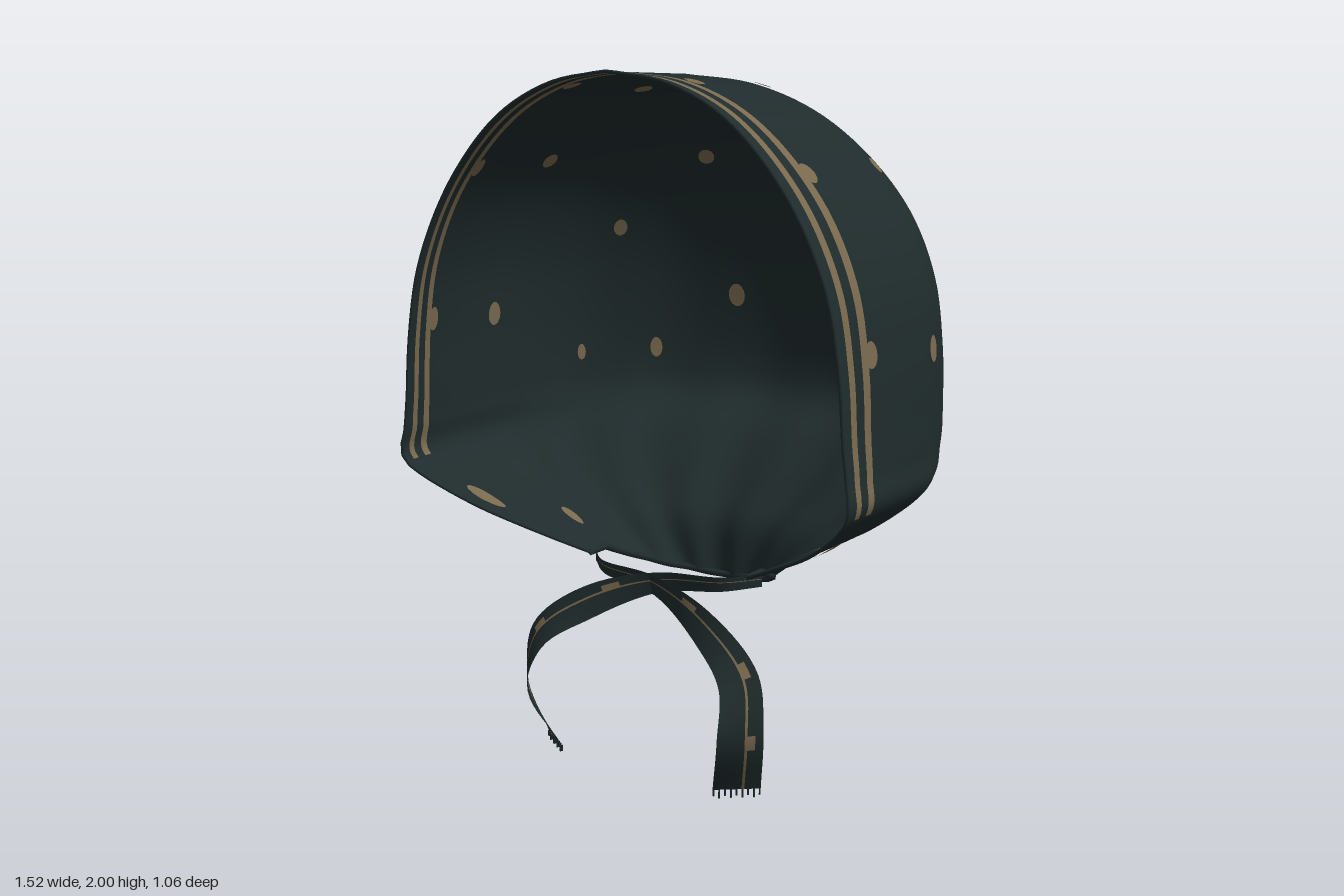
import * as THREE from 'three';
import { mergeVertices } from 'three/addons/utils/BufferGeometryUtils.js';

// Horizontal cross-sections of the hood, top to neck:
// [front y, back y, half width, rim width ratio, front z, side-end z, back z]
const ROWS = [
  [2.0, 2.0, 0, .9, .515, .12, .12],
  [1.974, 1.974, .194, .9, .515, .12, -.04],
  [1.9, 1.9, .375, .9, .515, .12, -.19],
  [1.78, 1.78, .53, .89, .515, .12, -.315],
  [1.625, 1.625, .655, .89, .515, .12, -.41],
  [1.444, 1.444, .728, .91, .517, .12, -.475],
  [1.25, 1.25, .752, .93, .519, .12, -.513],
  [1.08, 1.08, .755, .945, .52, .12, -.523],
  [.98, .98, .755, .96, .52, .12, -.485],
  [.88, .88, .745, .975, .52, .12, -.355],
  [.76, .75, .6, .98, .42, .13, -.22],
  [.67, .64, .42, 1, .32, .14, -.13],
  [.6, .49, .27, 1, .23, .15, -.11],
];
const LAST = ROWS.length - 1;
const RIM_ROW = 9;

function row(s) {
  const i = Math.min(Math.max(Math.floor(s), 0), LAST - 1), t = s - i;
  const [a, b, c, d] = [-1, 0, 1, 2].map(k => ROWS[Math.min(Math.max(i + k, 0), LAST)]);
  return b.map((_, k) => {
    const m0 = i === 0 ? c[k] - b[k] : (c[k] - a[k]) / 2;
    const m1 = (d[k] - b[k]) / 2;
    const t2 = t * t, t3 = t2 * t;
    return (2 * t3 - 3 * t2 + 1) * b[k] + (t3 - 2 * t2 + t) * m0 + (3 * t2 - 2 * t3) * c[k] + (t3 - t2) * m1;
  });
}

// Hood surface: u 0-1 is the left side, 1-2 goes round the back, 2-3 is the right side
function hoodPoint(s, u) {
  const [yF, yB, w, ratio, zF, zC, zB] = row(Math.min(Math.max(s, 0), LAST));
  if (u < 1 || u > 2) {
    const k = u < 1 ? u : 3 - u;
    const x = w * (ratio + (1 - ratio) * Math.sin(k * Math.PI / 2));
    return new THREE.Vector3(u < 1 ? x : -x, yF, zF + (zC - zF) * k);
  }
  const a = (u - 1) * Math.PI, sin = Math.sin(a);
  // gathers in the cloth grow towards the neck
  const gather = THREE.MathUtils.smoothstep(1.25 - yF, .1, .6) * .03 + .004;
  const f = 1 + gather * sin * Math.cos(15 * a);
  return new THREE.Vector3(w * Math.cos(a) * f, yF + (yB - yF) * sin, zC - (zC - zB) * sin * f);
}

function makeGeometry(points, lists) {
  const g = new THREE.BufferGeometry().setFromPoints(points);
  g.setIndex(lists.flat());
  let start = 0;
  lists.forEach((l, i) => { g.addGroup(start, l.length, i); start += l.length; });
  const merged = mergeVertices(g, 1e-5);
  merged.computeVertexNormals();
  return merged;
}

// Grid of points; isTrim(i, j) picks the second material for a cell
function gridGeometry(rows, cols, point, isTrim) {
  const pts = [], lists = [[], []];
  for (let i = 0; i < rows; i++) for (let j = 0; j < cols; j++) pts.push(point(i, j));
  for (let i = 0; i < rows - 1; i++) for (let j = 0; j < cols - 1; j++) {
    const a = i * cols + j, c = a + cols;
    lists[isTrim(i, j) ? 1 : 0].push(a, c, a + 1, a + 1, c, c + 1);
  }
  return makeGeometry(pts, lists);
}

// Disc that follows the hood, laid just outside or inside it
function dotGeometry(s, u, rx, ry, offset) {
  const e = .01, c = hoodPoint(s, u);
  const du = hoodPoint(s, u + e).sub(hoodPoint(s, u - e)).divideScalar(2 * e);
  const ds = hoodPoint(s + e, u).sub(hoodPoint(s - e, u)).divideScalar(2 * e);
  const n = ds.clone().cross(du).normalize().multiplyScalar(offset);
  const pts = [c.add(n)], idx = [], N = 14;
  for (let i = 0; i < N; i++) {
    const a = i / N * Math.PI * 2;
    pts.push(hoodPoint(s - Math.sin(a) * ry / ds.length(), u + Math.cos(a) * rx / du.length()).add(n));
    idx.push(0, i + 1, (i + 1) % N + 1);
  }
  return makeGeometry(pts, [idx]);
}

function rowAtHeight(y) {
  let lo = 0, hi = LAST;
  for (let i = 0; i < 30; i++) {
    const m = (lo + hi) / 2;
    if (row(m)[0] > y) lo = m; else hi = m;
  }
  return lo;
}

export function createModel() {
  const model = new THREE.Group();
  const cloth = new THREE.MeshStandardMaterial({ color: 0x1f2b2c, side: THREE.DoubleSide });
  cloth.name = 'dark teal cloth';
  const trim = new THREE.MeshStandardMaterial({ color: 0x79694e, side: THREE.DoubleSide });
  trim.name = 'tan print';
  const add = (name, geometry, material, parent = model) => {
    const m = new THREE.Mesh(geometry, material);
    m.name = name;
    parent.add(m);
    return m;
  };

  // Hood with two stripes behind the face opening
  const side = [0, .092, .15, .232, .302, .5, .75];
  const us = [...side];
  for (let i = 0; i <= 72; i++) us.push(1 + i / 72);
  us.push(...side.map(v => 3 - v).reverse());
  const stripe = j => j === 1 || j === 3;
  const sub = 6;
  add('hood', gridGeometry(LAST * sub + 1, us.length, (i, j) => hoodPoint(i / sub, us[j]),
    (i, j) => i < RIM_ROW * sub && (stripe(j) || stripe(us.length - 2 - j))), [cloth, trim]);

  // Printed dots, on both faces of the cloth
  const dots = new THREE.Group();
  dots.name = 'dots';
  model.add(dots);
  const addDot = (s, u, rx, ry) => {
    for (const o of [.005, -.005]) {
      add('dot', dotGeometry(s, u, rx, ry, o), trim, dots);
      add('dot', dotGeometry(s, 3 - u, rx, ry, o), trim, dots);
    }
  };
  // back dots: x, y, radii
  for (const [x, y, rx, ry] of [[.19, 1.76, .026, .028], [.5, 1.53, .022, .028],
    [.185, 1.31, .027, .038], [.445, 1.13, .02, .033], [.63, 1.12, .014, .026]]) {
    const s = rowAtHeight(y);
    addDot(s, 1 + Math.acos(x / row(s)[2]) / Math.PI, rx, ry);
  }
  // side dots: y, z, radii
  for (const [y, z, rx, ry] of [[1.965, .035, .026, .026], [1.75, .03, .025, .027],
    [1.27, .07, .026, .037], [1.97, .392, .026, .028], [1.74, .392, .026, .032],
    [1.29, .392, .026, .036], [.75, .34, .026, .065], [.67, .12, .02, .045]]) {
    const s = rowAtHeight(y), [, , , , zF, zC, zB] = row(s);
    const u = z > zC ? (zF - z) / (zF - zC) : 1 + Math.asin((zC - z) / (zC - zB)) / Math.PI;
    addDot(s, u, rx, ry);
  }

  // Rolled hems along the face opening and the neck
  const tube = (name, pts, r) => add(name,
    new THREE.TubeGeometry(new THREE.CatmullRomCurve3(pts), 120, r, 6), cloth);
  const rim = [];
  for (let i = LAST * 3; i > 0; i--) rim.push(hoodPoint(i / 3, 0));
  for (let i = 0; i <= LAST * 3; i++) rim.push(hoodPoint(i / 3, 3));
  tube('faceHem', rim, .005);
  tube('neckHem', Array.from({ length: 41 }, (_, i) => hoodPoint(LAST, i * 3 / 40)), .01);

  // Ties: centre points and half-width vectors for the tail on the right
  const V = a => new THREE.Vector3(...a);
  const path = [[.285, .58, .17], [.2, .575, .25], [0, .56, .285], [-.2, .485, .345],
    [-.345, .375, .4], [-.365, .23, .425], [-.315, .05, .36]].map(V);
  const half = [[0, .018, 0], [0, .022, .005], [-.005, .03, .005], [-.025, .04, -.01],
    [-.042, .02, -.035], [-.042, 0, -.055], [-.055, 0, -.04]].map(V);
  const across = [-1, -.5, .2, .32, .65, 1];
  for (const sgn of [1, -1]) {
    const drop = sgn < 0 ? .025 : 0, lift = sgn < 0 ? .012 : 0;
    const place = (p, t) => new THREE.Vector3(p.x * sgn, p.y - drop * t, p.z + lift * (1 - t));
    const mid = new THREE.CatmullRomCurve3(path), wide = new THREE.CatmullRomCurve3(half);
    const at = (t, v) => place(mid.getPoint(t).addScaledVector(wide.getPoint(t), v), t);
    const tie = new THREE.Group();
    tie.name = sgn > 0 ? 'rightTie' : 'leftTie';
    model.add(tie);
    // ribbon with a thin line and a few printed patches beside it
    add('ribbon', gridGeometry(49, across.length, (i, j) => at(i / 48, across[j]),
      (i, j) => j === 2 || (j === 3 && i > 16 && i % 10 < 2)), [cloth, trim], tie);
    // frayed end
    for (let k = 0; k < 9; k++) {
      const p = at(1, -0.96 + k * .24), len = k % 2 ? .025 : .018;
      add('fringe', new THREE.BoxGeometry(.004, len, .004), cloth, tie)
        .position.set(p.x, p.y - len / 2, p.z);
    }
  }
  return model;
}
